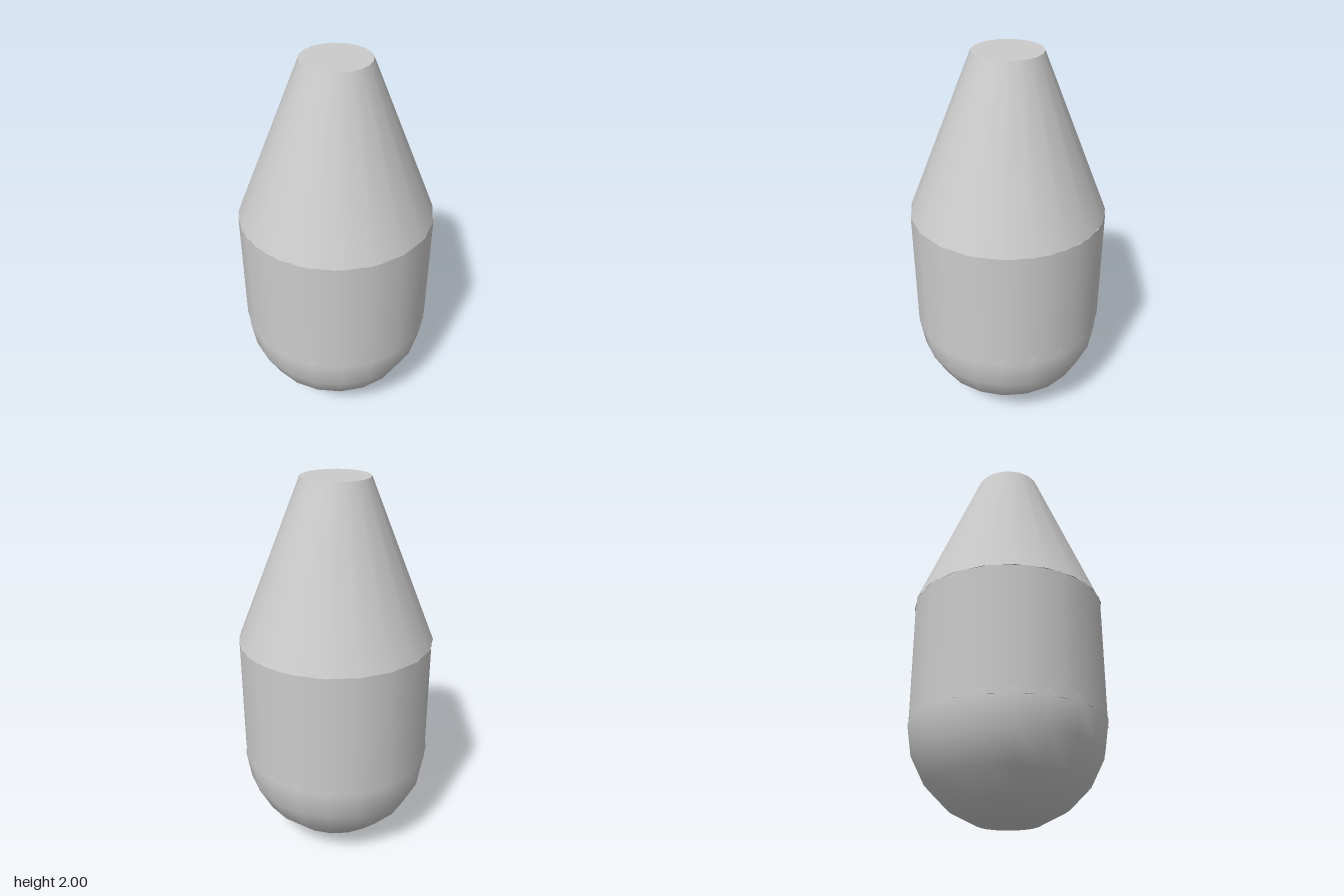
import * as THREE from 'three';

export function createModel() {
  const group = new THREE.Group();
  const material = new THREE.MeshStandardMaterial({ color: 0xcccccc });
  const R = 0.51, shoulder = 1.17, top = 2;

  const add = (name, geometry, y) => {
    const mesh = new THREE.Mesh(geometry, material);
    mesh.name = name;
    mesh.position.y = y;
    group.add(mesh);
  };

  // Rounded bottom: a coarse sphere whose upper half sits inside the body
  add('roundedBase', new THREE.SphereGeometry(R, 20, 10), R);

  // Straight barrel, with slightly fewer sides than the other parts
  add('body', new THREE.CylinderGeometry(R, R, shoulder - R, 18), (shoulder + R) / 2);

  // Truncated cone with a flat top
  add('taperedNeck', new THREE.CylinderGeometry(0.175, R, top - shoulder, 20), (top + shoulder) / 2);

  return group;
}
